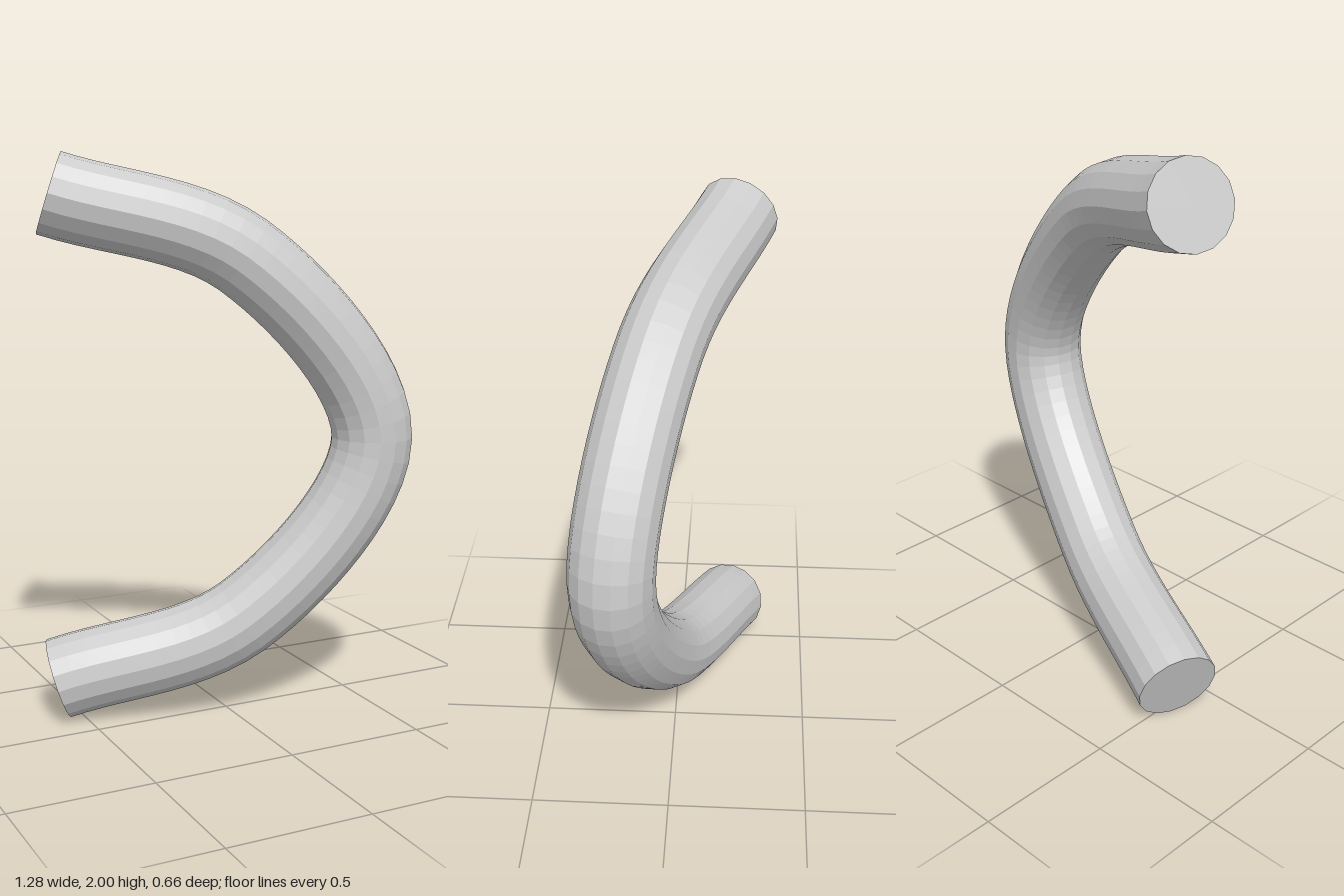
import * as THREE from 'three';

const RADIUS = 0.146;
const SIDES = 16;
const STEPS = 48;

export function createModel() {
  const group = new THREE.Group();
  group.name = 'bentBar';
  const material = new THREE.MeshStandardMaterial({ color: 0xcccccc, flatShading: true });

  // Centre line, mirrored about y = 1
  const path = new THREE.CatmullRomCurve3([
    [-0.575, 1.861, -0.195],
    [0.05, 1.645, 0.045],
    [0.494, 1, 0.183],
    [0.05, 0.355, 0.045],
    [-0.575, 0.139, -0.195],
  ].map((p) => new THREE.Vector3(...p)));

  // Round bar swept along the centre line
  const tube = new THREE.TubeGeometry(path, STEPS, RADIUS, SIDES, false);
  const bar = new THREE.Mesh(tube, material);
  bar.name = 'bar';
  group.add(bar);

  // Flat end caps, fanned from the first and last rings of the bar
  const ringPoint = (ring, i) =>
    new THREE.Vector3().fromBufferAttribute(tube.attributes.position, ring * (SIDES + 1) + i);

  function addCap(name, ring, centre, outward) {
    const points = [];
    for (let i = 0; i < SIDES; i++) {
      const a = ringPoint(ring, i);
      const b = ringPoint(ring, i + 1);
      const normal = a.clone().sub(centre).cross(b.clone().sub(centre));
      points.push(centre, ...(normal.dot(outward) > 0 ? [a, b] : [b, a]));
    }
    const geometry = new THREE.BufferGeometry().setFromPoints(points);
    geometry.computeVertexNormals();
    const cap = new THREE.Mesh(geometry, material);
    cap.name = name;
    group.add(cap);
  }
  addCap('upperEndCap', 0, path.getPointAt(0), path.getTangentAt(0).negate());
  addCap('lowerEndCap', STEPS, path.getPointAt(1), path.getTangentAt(1));

  return group;
}
